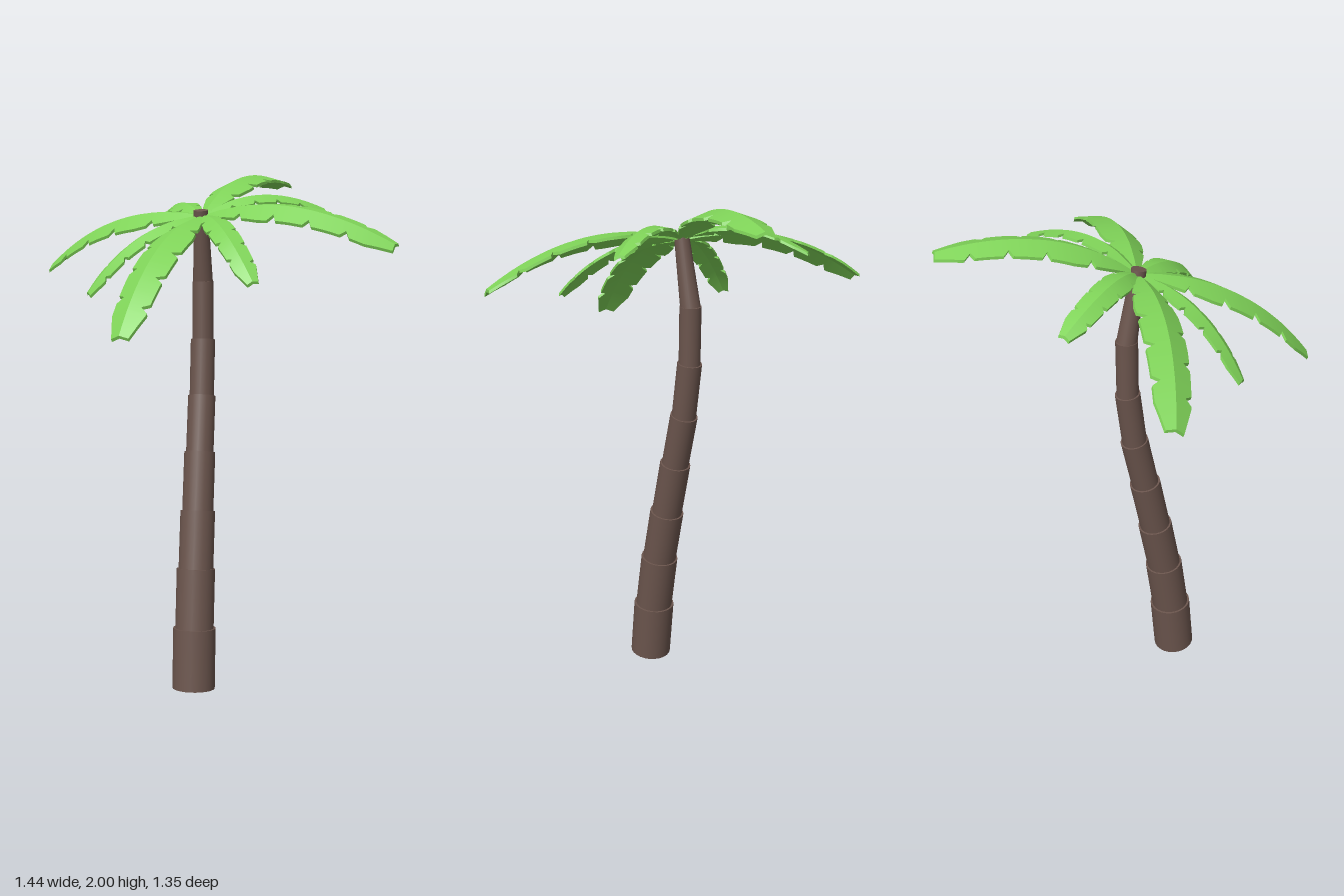
import * as THREE from 'three';
import { toCreasedNormals } from 'three/addons/utils/BufferGeometryUtils.js';

const bark = new THREE.MeshStandardMaterial({ color: 0x6b554d });
const green = new THREE.MeshStandardMaterial({ color: 0x7fd358 });
const V = (x, y, z) => new THREE.Vector3(x, y, z);

const CROWN = V(-0.028, 1.83, 0);
const CROWN_UP = V(-0.184, 1, 0.373).normalize();

// Joints of the bent trunk: [y, z, radius of the segment above]
const JOINTS = [
  [0.01, 0.19, 0.083], [0.238, 0.167, 0.075], [0.465, 0.131, 0.068], [0.685, 0.085, 0.061],
  [0.91, 0.035, 0.054], [1.125, -0.015, 0.048], [1.345, -0.046, 0.042], [1.57, -0.05, 0.039],
  [1.85, 0.002, 0.028],
];

function trunkSegment(i) {
  const [y0, z0, r] = JOINTS[i], [y1, z1] = JOINTS[i + 1];
  const last = i === JOINTS.length - 2;
  const a = V(-0.036, y0, z0), b = V(-0.036, y1, z1);
  const axis = b.clone().sub(a), extra = last ? 0 : 0.006;
  const geo = new THREE.CylinderGeometry(last ? JOINTS[i + 1][2] : r, r, axis.length() + extra, 24);
  const mesh = new THREE.Mesh(geo, bark);
  mesh.name = 'trunkSegment' + (i + 1);
  mesh.quaternion.setFromUnitVectors(V(0, 1, 0), axis.normalize());
  mesh.position.copy(a).add(b).multiplyScalar(0.5).addScaledVector(axis, extra / 2);
  return mesh;
}

// Half-width of the blade along its length, and the notches torn in each edge
const WIDTH = [[0, 0.006], [0.1, 0.035], [0.22, 0.064], [0.36, 0.084], [0.6, 0.08], [0.88, 0.068], [1, 0.034]];
const NOTCHES = { left: [0.27, 0.5, 0.68, 0.85], right: [0.24, 0.43, 0.61, 0.79] };
const HALF = 0.022;

function halfWidth(t, notches) {
  const k = Math.max(1, WIDTH.findIndex(([s]) => s >= t));
  const [t0, w0] = WIDTH[k - 1], [t1, w1] = WIDTH[k];
  const w = w0 + (w1 - w0) * (t - t0) / (t1 - t0);
  const cut = Math.max(0, ...notches.map((n) => 1 - Math.abs(t - n) / HALF));
  return w * (1 - 0.38 * cut);
}

// Arched, ridged blade lofted from the crown to its tip
function leafGeometry(tip, widthScale, arch) {
  const reach = tip.clone().sub(CROWN);
  const side = reach.clone().cross(CROWN_UP).normalize();
  const rows = [...new Set([
    ...WIDTH.map(([t]) => t), 0.48, 0.72, 0.94,
    ...[...NOTCHES.left, ...NOTCHES.right].flatMap((n) => [n - HALF, n, n + HALF]),
  ])].sort((a, b) => a - b);

  const rings = rows.map((t) => {
    const spine = CROWN.clone().addScaledVector(reach, t).addScaledVector(CROWN_UP, 4 * arch * t * (1 - t));
    const at = (s, drop) => spine.clone().addScaledVector(side, s).addScaledVector(CROWN_UP, -Math.abs(s) * 0.35 - drop);
    const l = -halfWidth(t, NOTCHES.left) * widthScale;
    const r = halfWidth(t, NOTCHES.right) * widthScale;
    const thick = 0.011;
    return [at(l, 0), at(0, 0), at(r, 0), at(r, thick), at(0, thick), at(l, thick)];
  });

  const points = [];
  const quad = (a, b, c, d) => points.push(a, b, c, a, c, d);
  for (let i = 0; i < rings.length - 1; i++) {
    const p = rings[i], q = rings[i + 1];
    for (let k = 0; k < 6; k++) quad(p[k], p[(k + 1) % 6], q[(k + 1) % 6], q[k]);
  }
  const s = rings[0], e = rings[rings.length - 1];
  quad(s[5], s[4], s[1], s[0]);
  quad(s[4], s[3], s[2], s[1]);
  quad(e[0], e[1], e[4], e[5]);
  quad(e[1], e[2], e[3], e[4]);
  return toCreasedNormals(new THREE.BufferGeometry().setFromPoints(points), 0.35);
}

export function createModel() {
  const model = new THREE.Group();
  model.name = 'palmTree';

  const trunk = new THREE.Group();
  trunk.name = 'trunk';
  for (let i = 0; i < JOINTS.length - 1; i++) trunk.add(trunkSegment(i));

  // Four long and four short leaves, given by their tips
  const crown = new THREE.Group();
  crown.name = 'crown';
  const addLeaves = (name, tips, widthScale, arch) => tips.forEach((tip, i) => {
    const leaf = new THREE.Mesh(leafGeometry(V(...tip), widthScale, arch), green);
    leaf.name = name + (i + 1);
    crown.add(leaf);
  });
  addLeaves('longLeaf', [
    [0.217, 1.98, -0.66], [0.707, 1.72, 0.207], [-0.212, 1.41, 0.66], [-0.71, 1.64, -0.285],
  ], 1, 0.09);
  addLeaves('shortLeaf', [
    [0.215, 1.59, 0.415], [-0.44, 1.54, 0.18], [-0.262, 1.81, -0.43], [0.425, 1.86, -0.18],
  ], 0.62, 0.07);

  model.add(trunk, crown);
  return model;
}
